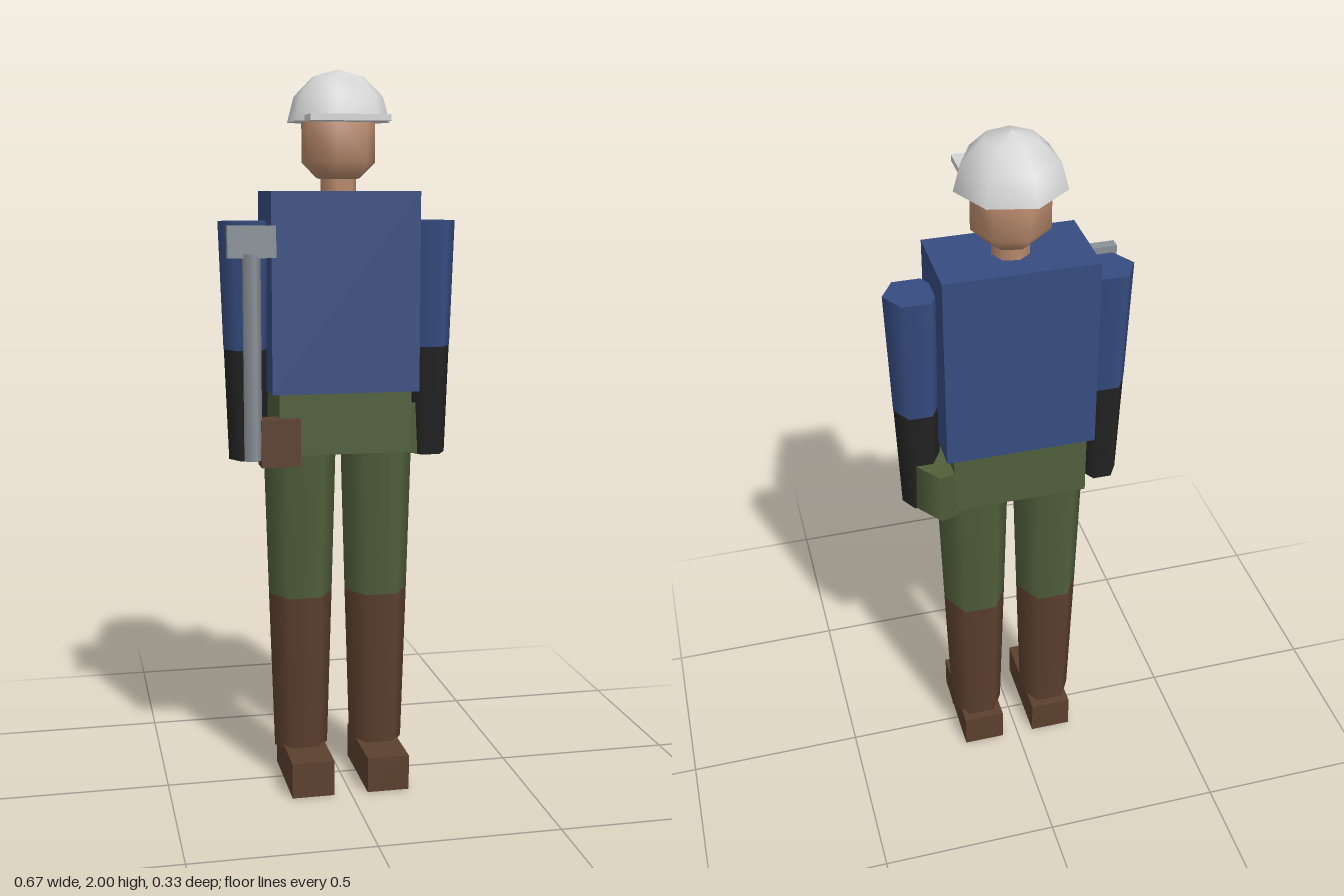
import * as THREE from 'three';

const Z = -0.022; // depth of the body's middle line

export function createModel() {
  const model = new THREE.Group();
  model.name = 'worker';

  const paint = (name, color) => {
    const m = new THREE.MeshStandardMaterial({ color });
    m.name = name;
    return m;
  };
  const blue = paint('blue shirt', 0x364c80);
  const olive = paint('olive cloth', 0x505f3b);
  const brown = paint('brown leather', 0x5c402e);
  const black = paint('black glove', 0x232323);
  const skin = paint('skin', 0xb98a6c);
  const white = paint('helmet white', 0xd4d5d4);
  const steel = paint('steel grey', 0x8a9198);

  const add = (name, geometry, material) => {
    const mesh = new THREE.Mesh(geometry, material);
    mesh.name = name;
    model.add(mesh);
    return mesh;
  };
  // Box given by its limits on each axis
  const box = (name, mat, [x0, x1], [y0, y1], [z0, z1]) =>
    add(name, new THREE.BoxGeometry(x1 - x0, y1 - y0, z1 - z0), mat)
      .position.set((x0 + x1) / 2, (y0 + y1) / 2, (z0 + z1) / 2);
  // Upright tapered prism with a corner towards +x
  const prism = (name, mat, x, z, [y0, y1], [r0, r1], sides) =>
    add(name, new THREE.CylinderGeometry(r1, r0, y1 - y0, sides, 1, false, Math.PI / 2), mat)
      .position.set(x, (y0 + y1) / 2, z);
  // Seven-sided turned shape with a corner towards +x
  const turned = (name, mat, profile) =>
    add(name, new THREE.LatheGeometry(profile.map(([r, y]) => new THREE.Vector2(r, y)),
      7, Math.PI / 2), mat).position.z = Z;

  // Body
  box('torso', blue, [-0.205, 0.205], [1.13, 1.675], [-0.14, 0.097]);
  box('hips', olive, [-0.185, 0.185], [0.96, 1.13], [-0.132, 0.09]);
  prism('neck', skin, 0, Z, [1.66, 1.74], [0.05, 0.05], 7);

  // Head and helmet
  turned('head', skin, [[0, 1.695], [0.061, 1.71], [0.104, 1.752], [0.104, 1.86], [0.06, 1.92], [0, 1.94]]);
  const dome = [];
  for (let i = 0; i <= 3; i++) {
    const a = (i / 3) * Math.PI / 2;
    dome.push([0.145 * Math.cos(a), 1.86 + 0.14 * Math.sin(a)]);
  }
  turned('helmetDome', white, dome);
  add('helmetUnderside', new THREE.CircleGeometry(0.145, 7).rotateX(Math.PI / 2), white)
    .position.set(0, 1.86, Z);
  box('helmetBrim', white, [-0.108, 0.108], [1.857, 1.874], [0.062, 0.152]);

  // Limbs, mirrored
  for (const [side, s] of [['left', 1], ['right', -1]]) {
    prism(side + 'Sleeve', blue, s * 0.259, Z, [1.245, 1.595], [0.063, 0.075], 6);
    prism(side + 'Glove', black, s * 0.258, Z, [0.938, 1.245], [0.052, 0.063], 6);
    prism(side + 'Thigh', olive, s * 0.11, Z, [0.545, 0.97], [0.091, 0.103], 6);
    prism(side + 'Gaiter', brown, s * 0.11, Z, [0.09, 0.545], [0.077, 0.091], 6);
    const edges = [s * 0.048, s * 0.167].sort((a, b) => a - b);
    box(side + 'Boot', brown, edges, [0, 0.1], [-0.113, 0.162]);
  }

  // Gear on the hips
  prism('pouch', olive, 0.2, -0.067, [0.94, 1.085], [0.08, 0.08], 5);
  box('holster', brown, [-0.239, -0.131], [0.935, 1.065], [0.054, 0.119]);

  // Hammer
  prism('hammerHandle', steel, -0.262, 0.108, [0.955, 1.51], [0.026, 0.026], 5);
  box('hammerHead', steel, [-0.326, -0.196], [1.5, 1.585], [0.093, 0.123]);

  return model;
}
